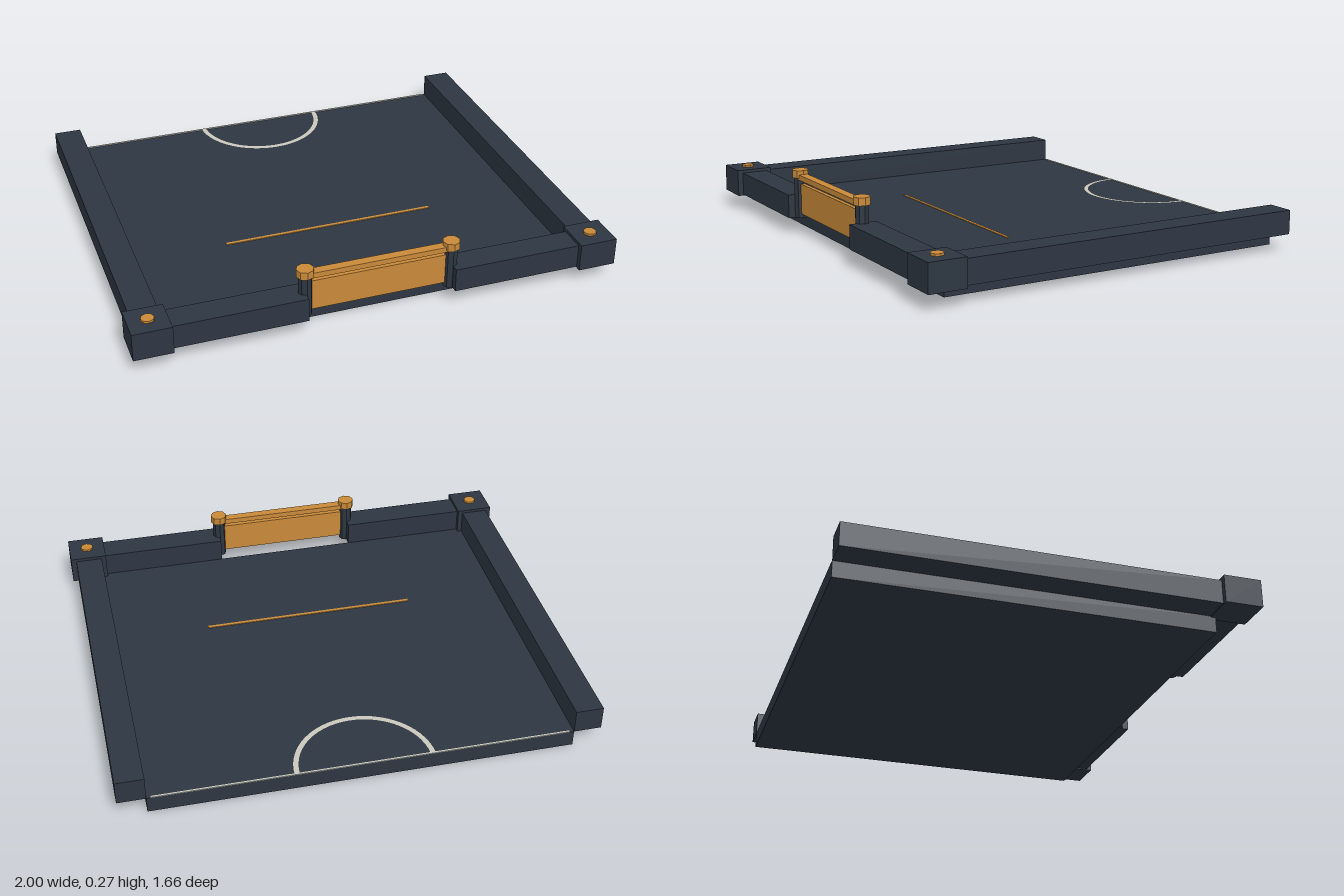
import * as THREE from 'three';

const mat = (name, color) => {
  const m = new THREE.MeshStandardMaterial({ color });
  m.name = name;
  return m;
};

export function createModel() {
  const model = new THREE.Group();
  model.name = 'walledArena';
  const slate = mat('slate', 0x2d3642);
  const amber = mat('amber', 0xc98a3a);
  const chalk = mat('chalk', 0xcac7bb);

  const add = (name, geometry, material, x, y, z) => {
    const mesh = new THREE.Mesh(geometry, material);
    mesh.name = name;
    mesh.position.set(x, y, z);
    model.add(mesh);
    return mesh;
  };
  // Box given by its lower and upper corners
  const box = (name, material, [x0, y0, z0], [x1, y1, z1]) =>
    add(name, new THREE.BoxGeometry(x1 - x0, y1 - y0, z1 - z0), material,
      (x0 + x1) / 2, (y0 + y1) / 2, (z0 + z1) / 2);
  // Faceted upright cylinder standing on y0
  const post = (name, material, r, x, y0, y1, z) => {
    const g = new THREE.CylinderGeometry(r, r, y1 - y0, 8).toNonIndexed();
    g.computeVertexNormals();
    return add(name, g, material, x, (y0 + y1) / 2, z);
  };

  // Floor slab
  box('floor', slate, [-0.862, 0, -0.834], [0.862, 0.068, 0.694]);

  // Floor markings
  box('backLine', chalk, [-0.845, 0.068, -0.834], [0.845, 0.071, -0.826]);
  box('centreLine', amber, [-0.455, 0.068, 0.173], [0.455, 0.071, 0.187]);
  const ring = new THREE.RingGeometry(0.264, 0.285, 28, 1, Math.PI, Math.PI);
  ring.rotateX(-Math.PI / 2);
  add('floorArc', ring, chalk, 0, 0.071, -0.834);

  for (const s of [-1, 1]) {
    const side = s < 0 ? 'right' : 'left';
    const span = (a, b) => (s < 0 ? [-b, -a] : [a, b]);

    // Side and front walls
    const [sx0, sx1] = span(0.862, 0.977);
    box(side + 'SideWall', slate, [sx0, 0.068, -0.834], [sx1, 0.168, 0.694]);
    const [fx0, fx1] = span(0.305, 0.862);
    box(side + 'FrontWall', slate, [fx0, 0.068, 0.692], [fx1, 0.168, 0.807]);

    // Corner block with stud
    const [cx0, cx1] = span(0.842, 1);
    box(side + 'CornerBlock', slate, [cx0, 0.064, 0.672], [cx1, 0.181, 0.83]);
    post(side + 'CornerStud', amber, 0.027, s * 0.92, 0.181, 0.19, 0.751);

    // Gate post with cap
    post(side + 'GatePost', slate, 0.028, s * 0.303, 0.068, 0.241, 0.751);
    post(side + 'GatePostCap', amber, 0.036, s * 0.303, 0.241, 0.274, 0.751);
  }

  // Gate
  box('gatePanel', amber, [-0.278, 0.086, 0.742], [0.278, 0.216, 0.76]);
  box('gateRail', amber, [-0.3, 0.234, 0.732], [0.3, 0.257, 0.77]);

  return model;
}
